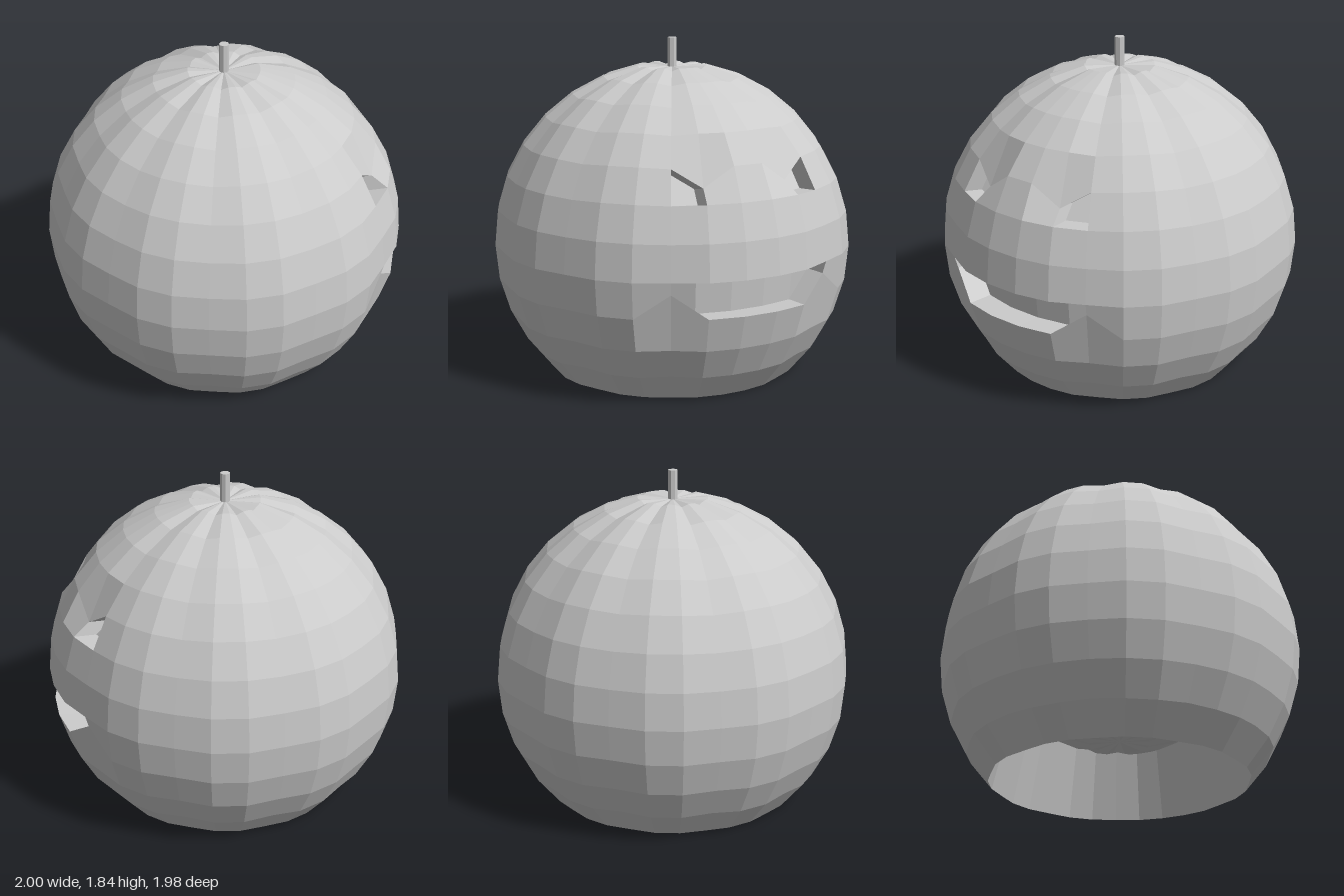
import * as THREE from 'three';

const STEP = Math.PI / 16;      // 32 columns, 16 rings
const CENTRE_Y = 0.707;
const CENTRE_Z = 0.008;
const CAP_SCALE = 0.85;         // size of the cap pushed up into the underside
const CAP_Y = 0.455;            // height of its outer edge

// Vertices slid down or up to slant the brows and the mouth corners: "ring,column" -> y
const moved = { '3,1': 1.155, '3,30': 1.155, '-1,2': 0.64, '-1,29': 0.64 };

const wrap = k => ((k % 32) + 32) % 32;
const isMoved = (j, k) => `${j},${wrap(k)}` in moved;

// Point on the ribbed sphere: ring j from -8 to 8, column k around y
function point(j, k) {
  k = wrap(k);
  if (Math.abs(j) === 8) return new THREE.Vector3(0, CENTRE_Y + Math.sign(j) * 0.972, CENTRE_Z);
  const groove = k % 3 === 2 && k < 30;
  const r = groove ? 0.984 : 1;
  const lat = j * STEP, lon = k * STEP;
  const p = new THREE.Vector3(
    r * Math.cos(lat) * Math.cos(lon),
    j === -4 ? 0 : CENTRE_Y + r * Math.sin(lat),
    r * Math.cos(lat) * Math.sin(lon) + CENTRE_Z);
  if (isMoved(j, k)) p.y = moved[`${j},${k}`];
  return p;
}

// Collects quads into one mesh, each quad shaded as a single facet
function quadMesh(name, material, fill) {
  const pos = [], nor = [];
  fill((a, b, c, d) => {
    const n = c.clone().sub(a).cross(d.clone().sub(b)).normalize();
    for (const t of [[a, b, c], [a, c, d]]) {
      if (t[0].equals(t[1]) || t[1].equals(t[2]) || t[2].equals(t[0])) continue;
      for (const v of t) {
        pos.push(v.x, v.y, v.z);
        nor.push(n.x, n.y, n.z);
      }
    }
  });
  const g = new THREE.BufferGeometry();
  g.setAttribute('position', new THREE.Float32BufferAttribute(pos, 3));
  g.setAttribute('normal', new THREE.Float32BufferAttribute(nor, 3));
  const mesh = new THREE.Mesh(g, material);
  mesh.name = name;
  return mesh;
}

const cell = (j, k) => [point(j, k), point(j + 1, k), point(j + 1, k + 1), point(j, k + 1)];

// A block of cells in one ring, pushed back by an offset, with walls round it
function recess(name, material, j, k0, k1, offset) {
  const back = p => p.clone().add(offset);
  return quadMesh(name, material, quad => {
    for (let k = k0; k <= k1; k++) {
      const c = cell(j, k);
      quad(...c.map(back));
      for (let e = 0; e < 4; e++) {
        if (e === 0 && k > k0) continue;
        if (e === 2 && k < k1) continue;
        const p = c[e], q = c[(e + 1) % 4];
        quad(p, q, back(q), back(p));
      }
    }
  });
}

export function createModel() {
  const group = new THREE.Group();
  group.name = 'carvedPumpkin';
  const material = new THREE.MeshStandardMaterial({ color: 0xcccccc });

  // Carved face: ring, first column, last column, offset of the floor
  const carvings = [
    ['mouth', -1, -3, 1, new THREE.Vector3(-0.15, -0.01, 0.012)],
    ['leftEye', 2, -3, -3, new THREE.Vector3(-0.12, -0.01, 0.03)],
    ['rightEye', 2, 1, 1, new THREE.Vector3(-0.12, -0.025, 0)],
  ];
  const carved = new Set();
  for (const [name, j, k0, k1, offset] of carvings) {
    for (let k = k0; k <= k1; k++) carved.add(`${j},${wrap(k)}`);
    group.add(recess(name, material, j, k0, k1, offset));
  }

  // Ribbed skin with openings for the face; folds run beside the moved corners
  group.add(quadMesh('skin', material, quad => {
    for (let j = -4; j < 8; j++)
      for (let k = 0; k < 32; k++) {
        if (carved.has(`${j},${k}`)) continue;
        const [a, b, c, d] = cell(j, k);
        if (isMoved(j, k) || isMoved(j + 1, k + 1)) quad(b, c, d, a);
        else quad(a, b, c, d);
      }
  }));

  // Hollow underside: tapering wall and the smaller, raised bottom cap
  const raise = p => new THREE.Vector3(
    p.x * CAP_SCALE, p.y * CAP_SCALE + CAP_Y, (p.z - CENTRE_Z) * CAP_SCALE + CENTRE_Z);
  group.add(quadMesh('undersideWall', material, quad => {
    for (let k = 0; k < 32; k++) {
      const a = point(-4, k), b = point(-4, k + 1);
      quad(a, b, raise(b), raise(a));
    }
  }));
  group.add(quadMesh('undersideCap', material, quad => {
    for (let j = -8; j < -4; j++)
      for (let k = 0; k < 32; k++) quad(...cell(j, k).map(raise));
  }));

  // Stem
  const stem = new THREE.Mesh(
    new THREE.CylinderGeometry(0.027, 0.027, 0.18, 8),
    new THREE.MeshStandardMaterial({ color: 0xcccccc, flatShading: true }));
  stem.name = 'stem';
  stem.position.set(0, 1.75, CENTRE_Z);
  group.add(stem);

  return group;
}
